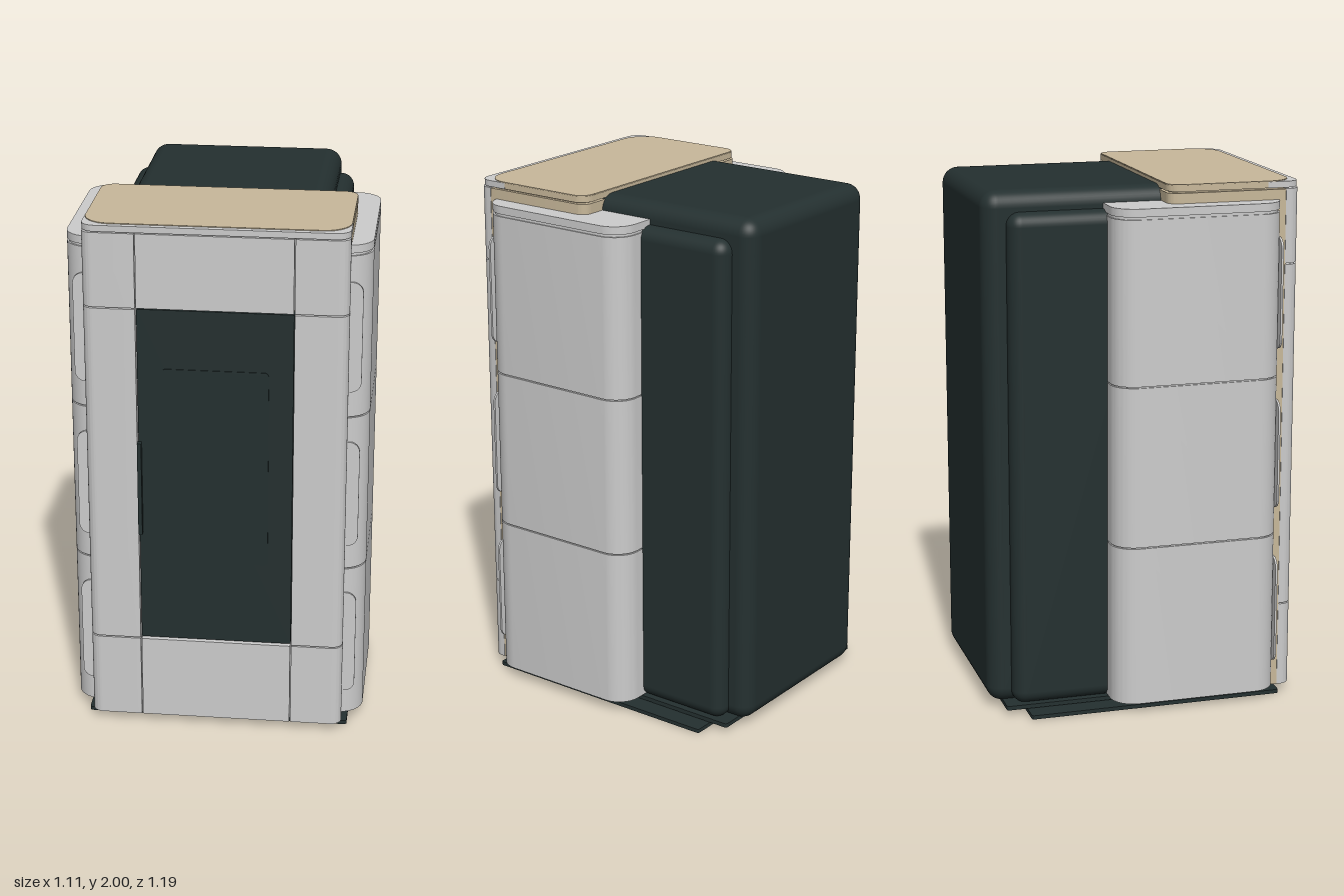
import * as THREE from 'three';
import { toCreasedNormals } from 'three/addons/utils/BufferGeometryUtils.js';
import { RoundedBoxGeometry } from 'three/addons/geometries/RoundedBoxGeometry.js';

const paint = (name, color) => {
  const m = new THREE.MeshStandardMaterial({ color });
  m.name = name;
  return m;
};

// Rectangle outline with its own radius per corner: [x0y0, x1y0, x1y1, x0y1]
function outline(x0, x1, y0, y1, [a, b, c, d]) {
  const s = new THREE.Shape();
  s.moveTo(x0 + a, y0).lineTo(x1 - b, y0);
  if (b) s.absarc(x1 - b, y0 + b, b, -Math.PI / 2, 0);
  s.lineTo(x1, y1 - c);
  if (c) s.absarc(x1 - c, y1 - c, c, 0, Math.PI / 2);
  s.lineTo(x0 + d, y1);
  if (d) s.absarc(x0 + d, y1 - d, d, Math.PI / 2, Math.PI);
  s.lineTo(x0, y0 + a);
  if (a) s.absarc(x0 + a, y0 + a, a, Math.PI, Math.PI * 1.5);
  return s;
}

const extrude = (shape, depth) =>
  new THREE.ExtrudeGeometry(shape, { depth, bevelEnabled: false, curveSegments: 8 });

export function createModel() {
  const group = new THREE.Group();
  const grey = paint('light grey ceramic', 0xcccccc);
  const dark = paint('dark green-black steel', 0x243030);
  const sand = paint('sand stone', 0xc8b89a);

  const add = (name, geo, mat) => {
    const mesh = new THREE.Mesh(geo, mat);
    mesh.name = name;
    group.add(mesh);
  };
  // Upright slab, rounded in plan; radii: front left-of-view, front right, back right, back left
  const slab = (name, mat, x0, x1, y0, y1, z0, z1, radii) => {
    const geo = extrude(outline(x0, x1, -z1, -z0, radii), y1 - y0);
    geo.rotateX(-Math.PI / 2).translate(0, y0, 0);
    add(name, toCreasedNormals(geo, 0.5), mat);
  };
  // Plate facing the front
  const plate = (name, mat, x0, x1, y0, y1, z0, z1, r) => {
    const geo = extrude(outline(x0, x1, y0, y1, [r, r, r, r]), z1 - z0);
    geo.translate(0, 0, z0);
    add(name, toCreasedNormals(geo, 0.5), mat);
  };
  const softBox = (name, mat, x, y0, y1, z0, z1, r) => {
    const geo = new RoundedBoxGeometry(x * 2, y1 - y0, z1 - z0, 5, r);
    geo.translate(0, (y0 + y1) / 2, (z0 + z1) / 2);
    add(name, geo, mat);
  };
  const all = (r) => [r, r, r, r];

  // Base plates
  slab('basePlate', dark, -0.5, 0.5, 0, 0.015, -0.455, 0.53, all(0.01));
  slab('baseUpperPlate', dark, -0.43, 0.43, 0.018, 0.034, -0.535, 0.5, all(0.01));
  slab('baseCore', dark, -0.4, 0.4, 0.01, 0.045, -0.42, 0.45, all(0.02));

  // Steel body at the rear
  softBox('rearBody', dark, 0.375, 0.025, 1.985, -0.59, 0.2, 0.06);
  softBox('rearSideShell', dark, 0.43, 0.03, 1.91, -0.505, 0.1, 0.05);

  // Side cladding: three stacked tiles and a cap
  slab('sideCore', grey, -0.55, 0.55, 0.05, 1.91, -0.135, 0.5, all(0.09));
  for (const [y0, y1] of [[0.04, 0.655], [0.66, 1.27], [1.275, 1.89]]) {
    slab('sideTile', grey, -0.555, 0.555, y0, y1, -0.14, 0.505, all(0.09));
    const mid = (y0 + y1) / 2;
    for (const s of [-1, 1]) {
      plate('sideTileInset', grey, s * 0.48 - 0.045, s * 0.48 + 0.045, mid - 0.21, mid + 0.21, 0.5, 0.508, 0.04);
    }
  }
  slab('sideCap', grey, -0.555, 0.555, 1.9, 1.93, -0.14, 0.505, all(0.09));

  // Stone carcass behind the front frame
  slab('stoneCarcass', sand, -0.478, 0.478, 0.03, 1.968, 0.08, 0.535, [0, 0, 0.04, 0.04]);

  // Front frame: two columns of three tiles, with panels above and below the door
  for (const [y0, y1] of [[0.03, 0.358], [0.363, 1.687], [1.692, 1.97]]) {
    slab('frameTile', grey, -0.48, -0.287, y0, y1, 0.53, 0.585, [0.04, 0, 0, 0]);
    slab('frameTile', grey, 0.287, 0.48, y0, y1, 0.53, 0.585, [0, 0.04, 0, 0]);
  }
  slab('lowerPanel', grey, -0.283, 0.283, 0.03, 0.358, 0.53, 0.585, all(0));
  slab('upperPanel', grey, -0.283, 0.283, 1.692, 1.97, 0.53, 0.585, all(0));

  // Door, window and handle
  plate('door', dark, -0.284, 0.284, 0.363, 1.685, 0.5, 0.574, 0.004);
  plate('doorWindow', dark, -0.195, 0.195, 0.69, 1.46, 0.57, 0.577, 0.015);
  plate('doorHandle', dark, -0.287, -0.272, 0.8, 1.17, 0.57, 0.595, 0.003);

  // Top cap: grey front lip with a stone slab
  slab('topLip', grey, -0.48, 0.48, 1.974, 1.997, 0.46, 0.585, [0.05, 0.05, 0, 0]);
  slab('topSlab', sand, -0.479, 0.479, 1.974, 1.997, 0.08, 0.46, [0, 0, 0.05, 0.05]);
  slab('topCore', sand, -0.465, 0.465, 1.96, 1.98, 0.095, 0.55, all(0.05));
  slab('topInlay', sand, -0.478, 0.478, 1.995, 2, 0.082, 0.563, [0.1, 0.1, 0.05, 0.05]);

  return group;
}
